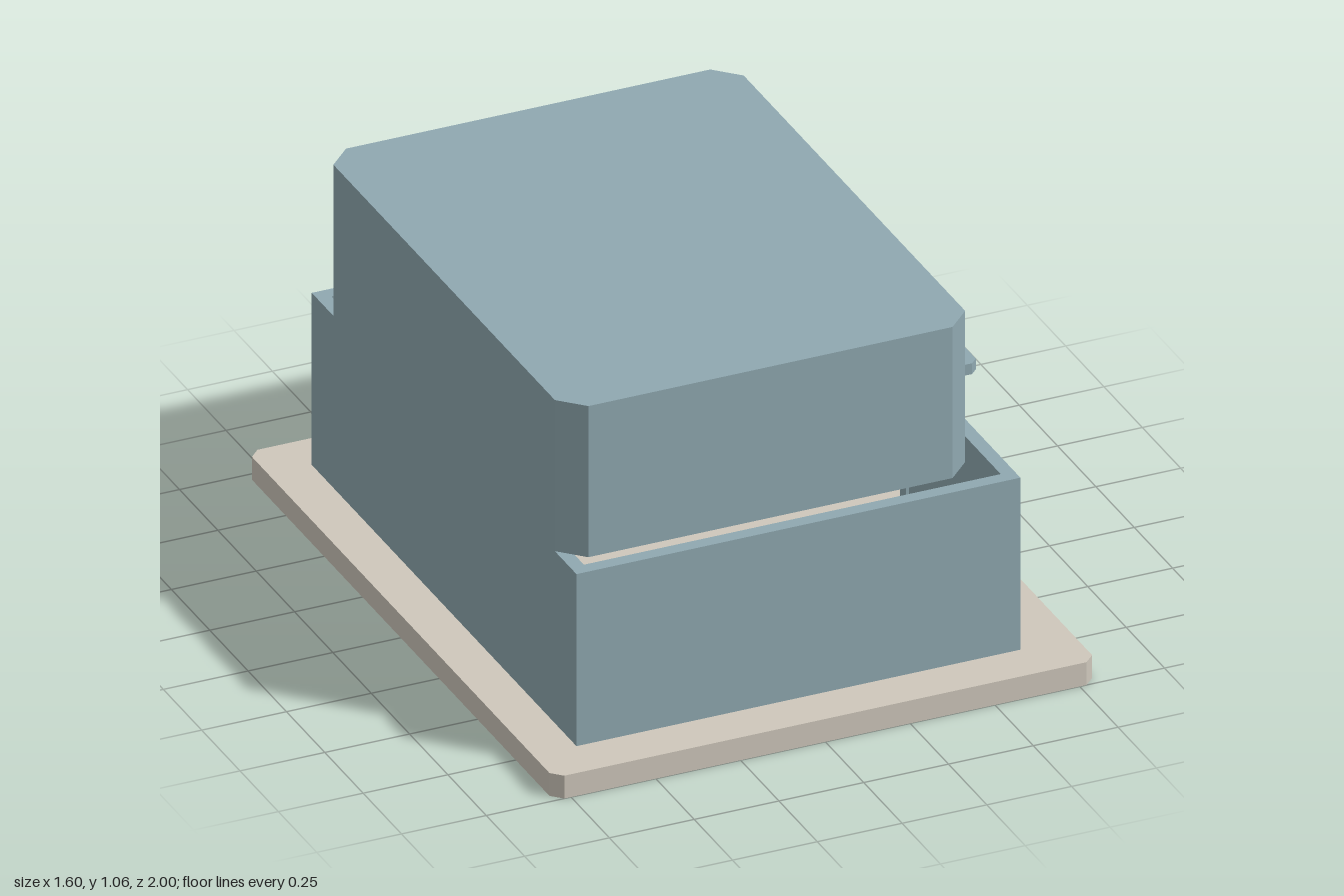
import * as THREE from 'three';

const wallMaterial = new THREE.MeshStandardMaterial({ name: 'blue grey wall', color: 0x8fa8b0 });
const stoneMaterial = new THREE.MeshStandardMaterial({ name: 'pale stone', color: 0xcec7bb });

// Extrudes a plan outline of [x, z] points upward from y0 to y1
function prism(name, points, y0, y1, material) {
  const shape = new THREE.Shape(points.map(([x, z]) => new THREE.Vector2(x, -z)));
  const geometry = new THREE.ExtrudeGeometry(shape, { depth: y1 - y0, bevelEnabled: false });
  geometry.rotateX(-Math.PI / 2);
  geometry.translate(0, y0, 0);
  const mesh = new THREE.Mesh(geometry, material);
  mesh.name = name;
  return mesh;
}

// Plan rectangle, symmetric in z, with cut corners
function chamferedPlan(x0, x1, z, c) {
  return [
    [x0 + c, z], [x1 - c, z], [x1, z - c], [x1, c - z],
    [x1 - c, -z], [x0 + c, -z], [x0, c - z], [x0, z - c],
  ];
}

function box(name, x0, x1, y0, y1, z0, z1, material) {
  const mesh = new THREE.Mesh(new THREE.BoxGeometry(x1 - x0, y1 - y0, z1 - z0), material);
  mesh.position.set((x0 + x1) / 2, (y0 + y1) / 2, (z0 + z1) / 2);
  mesh.name = name;
  return mesh;
}

export function createModel() {
  const house = new THREE.Group();
  house.name = 'house';
  const ground = 0.07, top = 0.597;

  // Plinth
  house.add(prism('plinth', chamferedPlan(-0.8, 0.8, 1, 0.03), 0, ground, stoneMaterial));

  // Hollow ground floor, open at the doorway
  const x0 = -0.672, x1 = 0.637, z = 0.863, t = 0.04, door = 0.205;
  house.add(prism('groundFloorWalls', [
    [x1, door], [x1, z], [x0, z], [x0, -z], [x1, -z], [x1, -door],
    [x1 - t, -door], [x1 - t, t - z], [x0 + t, t - z],
    [x0 + t, z - t], [x1 - t, z - t], [x1 - t, door],
  ], ground, top, wallMaterial));
  house.add(box('doorHeader', x1 - t, x1, 0.567, top, -door, door, wallMaterial));

  // Upper storey, flush with the back wall
  house.add(prism('upperStorey', chamferedPlan(x0, 0.538, 0.79, 0.068), top, 1.06, wallMaterial));

  // Doorway: jambs, lintel and canopy
  for (const side of [-1, 1]) {
    const jamb = box('doorJamb', 0.588, 0.672, ground, 0.532, 0.185, 0.224, wallMaterial);
    jamb.position.z *= side;
    house.add(jamb);
  }
  house.add(box('doorLintel', 0.602, 0.692, 0.532, 0.567, -0.222, 0.222, stoneMaterial));
  house.add(prism('doorCanopy', chamferedPlan(x1, 0.8, 0.232, 0.02), 0.567, 0.6, wallMaterial));

  return house;
}
